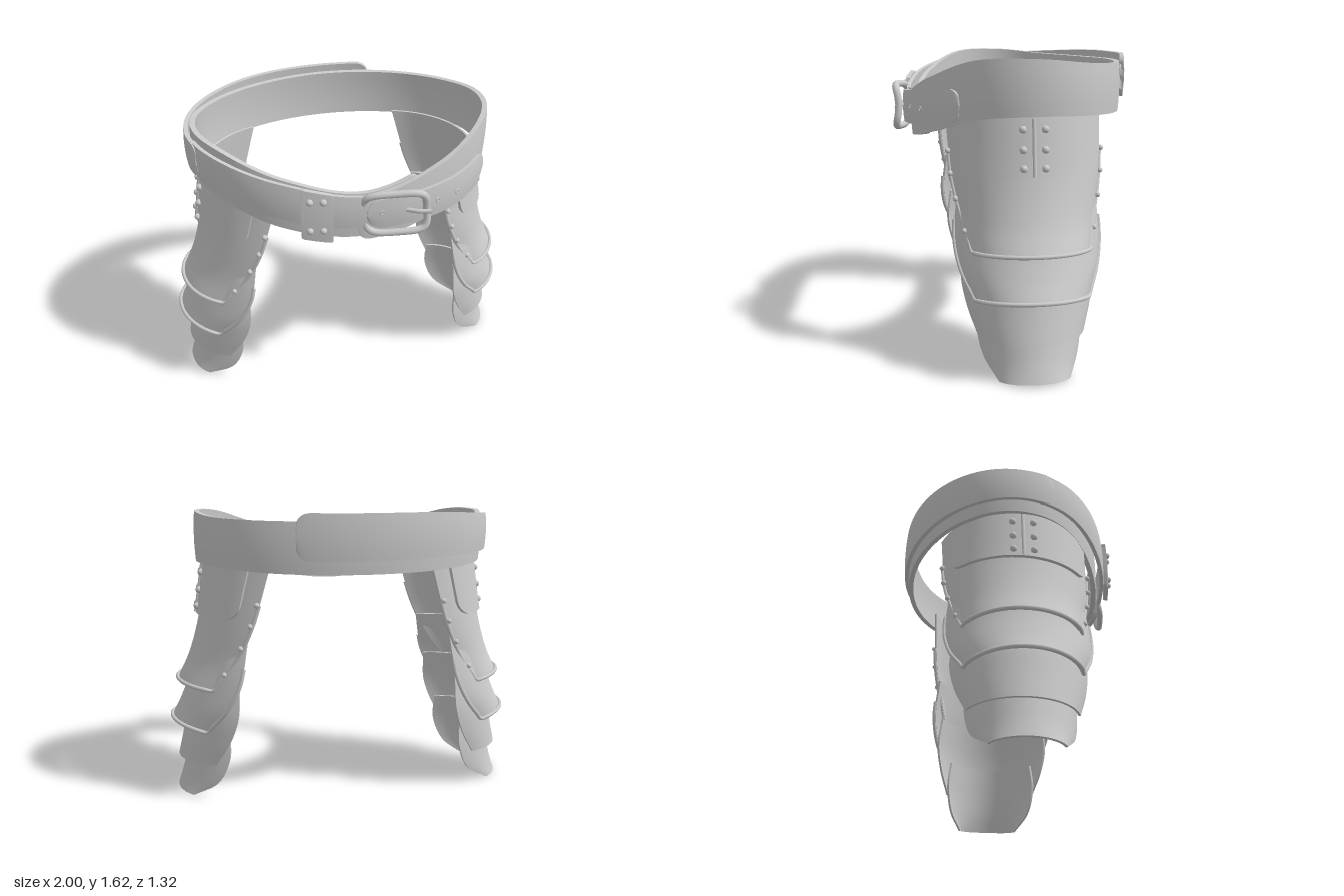
import * as THREE from 'three';
import { toCreasedNormals } from 'three/addons/utils/BufferGeometryUtils.js';

const mat = new THREE.MeshStandardMaterial({ color: 0xcccccc, roughness: 0.6 });
const V = (x, y, z) => new THREE.Vector3(x, y, z);
const lerp = THREE.MathUtils.lerp;
const rad = THREE.MathUtils.degToRad;

function add(parent, name, geo) {
  const mesh = new THREE.Mesh(geo, mat);
  mesh.name = name;
  parent.add(mesh);
  return mesh;
}

// Closed sheet of thickness th behind the surface f(u, v); du x dv points outward
function shell(f, nu, nv, th) {
  const grid = [], front = [], index = [], row = nu + 1, n = row * (nv + 1);
  for (let j = 0; j <= nv; j++) for (let i = 0; i <= nu; i++) grid.push(f(i / nu, j / nv));
  for (let j = 0; j < nv; j++) for (let i = 0; i < nu; i++) {
    const a = j * row + i, b = a + 1, c = a + row, d = c + 1;
    front.push(a, b, c, b, d, c);
  }
  const face = new THREE.BufferGeometry().setFromPoints(grid);
  face.setIndex(front);
  face.computeVertexNormals();
  const nor = face.attributes.normal;
  const back = grid.map((p, k) => p.clone().addScaledVector(V(0, 0, 0).fromBufferAttribute(nor, k), -th));
  for (let k = 0; k < front.length; k += 3) {
    const [a, b, c] = front.slice(k, k + 3);
    index.push(a, b, c, n + a, n + c, n + b);
  }
  const rim = [];
  for (let i = 0; i < nu; i++) rim.push(i);
  for (let j = 0; j < nv; j++) rim.push(j * row + nu);
  for (let i = nu; i > 0; i--) rim.push(nv * row + i);
  for (let j = nv; j > 0; j--) rim.push(j * row);
  rim.forEach((a, k) => {
    const b = rim[(k + 1) % rim.length];
    index.push(b, a, n + a, b, n + a, n + b);
  });
  const geo = new THREE.BufferGeometry().setFromPoints([...grid, ...back]);
  geo.setIndex(index);
  return toCreasedNormals(geo, 0.7);
}

// Smooth height around the waist, keyed every 30 degrees from front to back
function heights(k) {
  const pts = [k[1], ...k, k[5]].map((y, i) => new THREE.Vector2(i, y));
  const curve = new THREE.SplineCurve(pts);
  return deg => curve.getPoint((Math.acos(Math.cos(rad(deg))) * 180 / Math.PI + 30) / 240).y;
}

// Point on the waist ellipse: 0 degrees = front, 90 = the model's left
const waist = (deg, y, off) =>
  V((0.795 + off) * Math.sin(rad(deg)), y, -0.045 + (0.56 + off) * Math.cos(rad(deg)));

// Strap from angle t0 down to t1 with rounded ends
function band({ t0, t1, top, bottom, off, th, r, n = 60 }) {
  return shell((u, v) => {
    const w = (1 - Math.cos(Math.PI * u)) / 2, t = lerp(t0, t1, w);
    const mid = (top(t) + bottom(t)) / 2, full = (top(t) - bottom(t)) / 2;
    const d = Math.min(r, rad(Math.min(t0 - t, t - t1)) * 0.68);
    const half = full - r + Math.sqrt(Math.max(0, r * r - (r - d) ** 2));
    const k = 1 - 2 * v;
    return waist(t, mid + half * k, off(w) + 0.006 * (1 - k * k));
  }, n, 6, th);
}

function rivet(parent, p, r) {
  add(parent, 'rivet', new THREE.SphereGeometry(r, 14, 10)).position.copy(p);
}

function buildBelt(root) {
  const belt = new THREE.Group();
  belt.name = 'belt';
  root.add(belt);
  const wideTop = heights([1.42, 1.505, 1.605, 1.615, 1.59, 1.58, 1.58]);
  const wideBottom = heights([1.16, 1.22, 1.315, 1.34, 1.33, 1.315, 1.31]);
  const top = heights([1.435, 1.51, 1.575, 1.59, 1.605, 1.62, 1.62]);
  const bottom = heights([1.25, 1.305, 1.385, 1.405, 1.395, 1.385, 1.38]);

  // Wide belt overlapping itself at the front
  add(belt, 'wideBelt', band({ t0: 22, t1: -363, top: wideTop, bottom: wideBottom,
    off: w => lerp(0, 0.035, w), th: 0.028, r: 0.05, n: 180 }));
  // Narrower straps laid over it
  add(belt, 'backStrap', band({ t0: -202, t1: -432 + 360 - 0, top, bottom, ...{ t0: -72, t1: -202 },
    off: () => 0.045, th: 0.024, r: 0.06, n: 90 }));
  add(belt, 'frontStrap', band({ t0: 3, t1: -80, top, bottom,
    off: w => lerp(0.06, 0.036, w), th: 0.022, r: 0.02 }));
  // Loose end passing through the buckle
  add(belt, 'strapTongue', band({ t0: 54, t1: -1,
    top: heights([1.42, 1.445, 1.48, 1.5, 1.5, 1.5, 1.5]),
    bottom: heights([1.25, 1.265, 1.305, 1.32, 1.32, 1.32, 1.32]),
    off: w => 0.072 + 0.028 * Math.sin(Math.PI * w), th: 0.02, r: 0.075 }));
  [[4, 1.345, 0.085], [24, 1.352, 0.106], [33, 1.352, 0.105]].forEach(([t, y, o]) => {
    const hole = add(belt, 'strapHole', new THREE.TorusGeometry(0.011, 0.004, 8, 16));
    hole.position.copy(waist(t, y, o));
    hole.rotation.y = rad(t);
  });

  // Riveted keeper plate
  add(belt, 'keeper', band({ t0: -12.2, t1: -23, top: t => top(t) + 0.015, bottom: t => bottom(t) - 0.075,
    off: () => 0.078, th: 0.025, r: 0.012, n: 16 }));
  for (const t of [-20, -15.5]) for (const y of [1.437, 1.268]) rivet(belt, waist(t, y, 0.083), 0.018);

  // Buckle frame, flared outward at top and bottom
  const pow = c => Math.sign(c) * Math.abs(c) ** 0.45;
  const path = [];
  for (let i = 0; i < 48; i++) {
    const a = i / 48 * Math.PI * 2, x = 0.155 * pow(Math.cos(a)), k = pow(Math.sin(a));
    path.push(V(0.13 + x - 0.012 * k, 1.34 + 0.115 * k + 0.07 * x, 0.588 + 0.22 * x + 0.025 * k * k));
  }
  add(belt, 'buckleFrame', new THREE.TubeGeometry(new THREE.CatmullRomCurve3(path, true), 96, 0.019, 10, true));
  const prong = new THREE.CatmullRomCurve3([V(0.19, 1.345, 0.6), V(0.24, 1.347, 0.63), V(0.3, 1.35, 0.648)]);
  add(belt, 'bucklePin', new THREE.TubeGeometry(prong, 12, 0.012, 8));
}

// Plates of the thigh guard: centre line [x, y] and side edge [x, y, half width]
const PLATES = [
  { name: 'upperPlate', lip: true,
    mid: [[0.765, 1.36], [0.825, 1.0], [0.885, 0.8], [0.945, 0.675]],
    edge: [[0.43, 1.36, 0.415], [0.54, 1.0, 0.39], [0.64, 0.8, 0.345], [0.75, 0.655, 0.305]] },
  { name: 'secondPlate', lip: true,
    mid: [[0.835, 0.95], [0.88, 0.7], [0.935, 0.55], [0.985, 0.45]],
    edge: [[0.56, 0.93, 0.365], [0.605, 0.7, 0.385], [0.68, 0.55, 0.36], [0.79, 0.415, 0.295]] },
  { name: 'thirdPlate',
    mid: [[0.845, 0.7], [0.9, 0.5], [0.93, 0.35], [0.962, 0.21]],
    edge: [[0.61, 0.68, 0.335], [0.62, 0.5, 0.355], [0.67, 0.35, 0.33], [0.75, 0.21, 0.28]] },
  { name: 'lowestPlate',
    mid: [[0.875, 0.42], [0.91, 0.25], [0.94, 0.12], [0.972, 0.018]],
    edge: [[0.67, 0.4, 0.265], [0.67, 0.25, 0.28], [0.735, 0.1, 0.255], [0.88, 0.005, 0.185]] },
];
const ARC = rad(70), ZC = -0.03;

// Curved plate surface: u from -1 (back) to 1 (front), v from top to bottom
function plateSurface({ mid, edge }, s) {
  const m = new THREE.CatmullRomCurve3(mid.map(([x, y]) => V(x, y, 0)));
  const e = new THREE.CatmullRomCurve3(edge.map(([x, y, w]) => V(x, y, w)));
  return (u, v, off = 0) => {
    const a = ARC * u, M = m.getPoint(v), E = e.getPoint(v);
    const k = (Math.cos(a) - Math.cos(ARC)) / (1 - Math.cos(ARC));
    return V(s * (lerp(E.x, M.x, k) + off * Math.cos(a)), lerp(E.y, M.y, k),
      ZC + E.z * Math.sin(a) / Math.sin(ARC) + off * Math.sin(a));
  };
}

function buildThighGuard(root, s) {
  const guard = new THREE.Group();
  guard.name = s > 0 ? 'leftThighGuard' : 'rightThighGuard';
  root.add(guard);
  for (const p of PLATES) {
    const f = plateSurface(p, s);
    add(guard, p.name, shell((u, v) => f(s * (2 * u - 1), v), 32, 24, 0.012));
    if (!p.lip) continue;
    // Rolled rim down both sides and along the bottom
    const rim = [];
    for (let i = 0; i <= 8; i++) rim.push(f(-1, lerp(0.2, 1, i / 8)));
    for (let i = 1; i < 16; i++) rim.push(f(-1 + i / 8, 1, 0.006));
    for (let i = 8; i >= 0; i--) rim.push(f(1, lerp(0.2, 1, i / 8)));
    add(guard, p.name + 'Rim', new THREE.TubeGeometry(new THREE.CatmullRomCurve3(rim), 120, 0.011, 8));
  }

  // Hanger patch with rounded lower corners, its seam and rivets
  const f = plateSurface(PLATES[0], s), W = 0.82;
  add(guard, 'hangerPatch', shell((u, v) => {
    const c = 1 - Math.cos(Math.PI * u), side = c - 1;
    const d = Math.max(0, (Math.abs(side) - 0.8) / 0.2);
    return f(s * side * W, lerp(0.02, 0.285 - 0.075 * (1 - Math.sqrt(1 - Math.min(1, d) ** 2)), v), 0.018);
  }, 48, 10, 0.018));
  const seam = [0.03, 0.12, 0.2, 0.285].map(v => f(0, v, 0.019));
  add(guard, 'hangerSeam', new THREE.TubeGeometry(new THREE.CatmullRomCurve3(seam), 16, 0.01, 8));
  for (const u of [-0.1, 0.1]) for (const v of [0.075, 0.162, 0.245]) rivet(guard, f(u, v, 0.022), 0.019);

  // Small rivets down the side edges
  for (const u of [-0.98, 0.98]) for (const v of [0.2, 0.31, 0.49, 0.78]) rivet(guard, f(u, v, 0.008), 0.015);
}

export function createModel() {
  const root = new THREE.Group();
  root.name = 'armouredBelt';
  buildBelt(root);
  for (const s of [1, -1]) buildThighGuard(root, s);
  return root;
}
